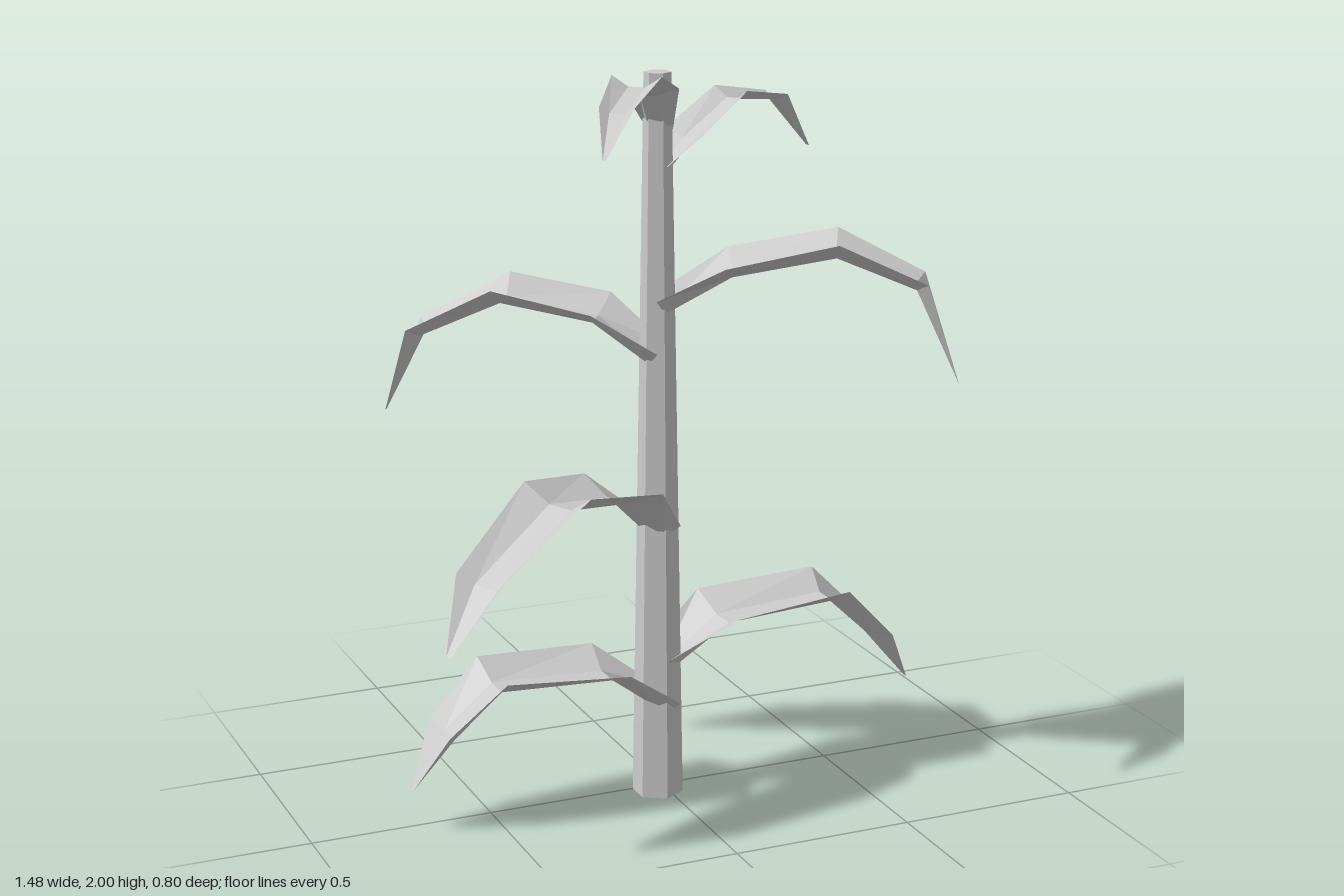
import * as THREE from 'three';

const material = new THREE.MeshStandardMaterial({ color: 0xcccccc, flatShading: true, side: THREE.DoubleSide });

// Channel-shaped blade: at each station two raised rims and a flat floor between them
const RIM = [0.065, 0.14, 0.118, 0.082, 0.01];
const FLOOR = [0.03, 0.04, 0.04, 0.04, 0.005];
const DEPTH = [0.045, 0.045, 0.05, 0.035, 0];

// points: [distance from stalk axis, height] of the rims, from base to tip
function leafGeometry(points, scale) {
  const positions = [];
  const index = [];
  points.forEach(([r, y], i) => {
    const a = points[Math.max(i - 1, 0)];
    const b = points[Math.min(i + 1, points.length - 1)];
    const length = Math.hypot(b[0] - a[0], b[1] - a[1]);
    const d = DEPTH[i] * scale / length;
    const floorR = r + (b[1] - a[1]) * d;
    const floorY = y - (b[0] - a[0]) * d;
    const rim = RIM[i] * scale;
    const floor = FLOOR[i] * scale;
    positions.push(r, y, -rim, floorR, floorY, -floor, floorR, floorY, floor, r, y, rim);
    if (i === 0) return;
    for (let k = 0; k < 3; k++) {
      const p = (i - 1) * 4 + k;
      index.push(p, p + 1, p + 4, p + 1, p + 5, p + 4);
    }
  });
  const geometry = new THREE.BufferGeometry();
  geometry.setAttribute('position', new THREE.Float32BufferAttribute(positions, 3));
  geometry.setIndex(index);
  geometry.computeVertexNormals();
  return geometry;
}

// Leaves from the ground up; angle in degrees from +x towards +z
const LEAVES = [
  { name: 'lowerRightLeaf', angle: 180, scale: 1, points: [[-0.04, 0.27], [0.136, 0.4], [0.476, 0.42], [0.625, 0.28], [0.705, 0.12]] },
  { name: 'lowerLeftLeaf', angle: 0, scale: 1, points: [[0, 0.395], [0.18, 0.515], [0.52, 0.54], [0.675, 0.38], [0.76, 0.22]] },
  { name: 'middleRightLeaf', angle: 155, scale: 1, points: [[-0.02, 0.77], [0.135, 0.91], [0.385, 0.95], [0.67, 0.78], [0.785, 0.605]] },
  { name: 'backRightLeaf', angle: 213, scale: 1, points: [[-0.01, 1.25], [0.15, 1.365], [0.42, 1.415], [0.66, 1.29], [0.74, 1.05]] },
  { name: 'frontLeftLeaf', angle: 25.6, scale: 1, points: [[0, 1.39], [0.18, 1.495], [0.47, 1.555], [0.7, 1.445], [0.79, 1.165]] },
  { name: 'topLeftLeaf', angle: -16.5, scale: 0.55, points: [[-0.01, 1.73], [0.09, 1.815], [0.25, 1.912], [0.41, 1.885], [0.525, 1.73]] },
  { name: 'topRightLeaf', angle: 129, scale: 0.55, points: [[-0.02, 1.83], [0.07, 1.95], [0.19, 1.997], [0.365, 1.945], [0.475, 1.835]] },
];

export function createModel() {
  const plant = new THREE.Group();
  plant.name = 'plant';
  plant.position.set(-0.025, 0, 0.033);

  // Tapered six-sided stalk
  const stalk = new THREE.Mesh(new THREE.CylinderGeometry(0.036, 0.069, 1.98, 6), material);
  stalk.name = 'stalk';
  stalk.position.y = 0.99;
  plant.add(stalk);

  // Arching leaves
  for (const { name, angle, scale, points } of LEAVES) {
    const leaf = new THREE.Mesh(leafGeometry(points, scale), material);
    leaf.name = name;
    leaf.rotation.y = -THREE.MathUtils.degToRad(angle);
    plant.add(leaf);
  }

  const model = new THREE.Group();
  model.name = 'model';
  model.add(plant);
  return model;
}
